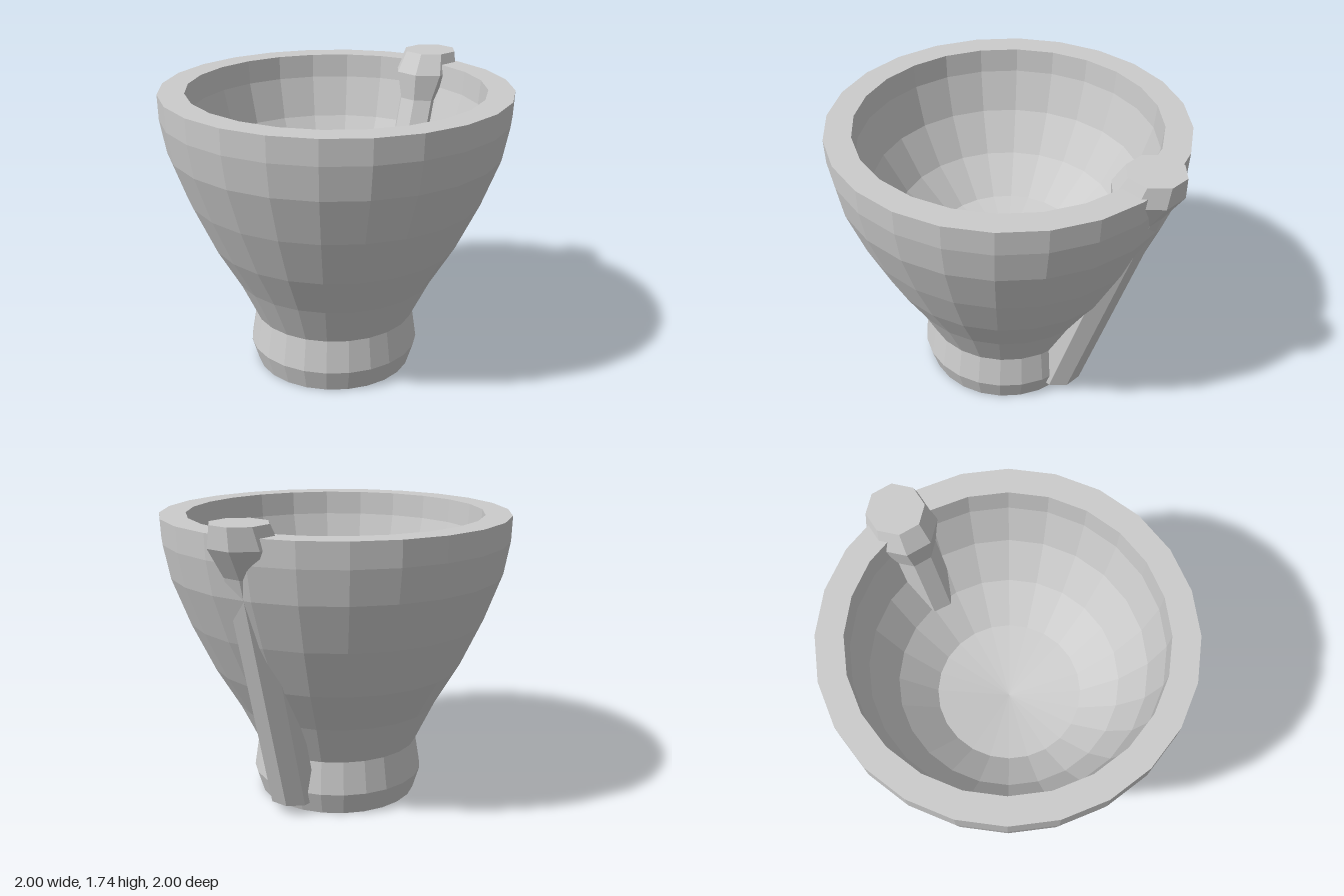
import * as THREE from 'three';

// Low-poly lathe whose rings are shifted sideways by a rule of their height
function shiftedLathe(name, profile, sides, phase, shift) {
  const points = profile.map(([r, y]) => new THREE.Vector2(r, y));
  const geometry = new THREE.LatheGeometry(points, sides, phase);
  const p = geometry.attributes.position;
  for (let i = 0; i < p.count; i++) {
    const [dx, dz] = shift(p.getY(i));
    p.setX(i, p.getX(i) + dx);
    p.setZ(i, p.getZ(i) + dz);
  }
  geometry.computeVertexNormals();
  const mesh = new THREE.Mesh(
    geometry,
    new THREE.MeshStandardMaterial({ color: 0xcccccc, flatShading: true })
  );
  mesh.name = name;
  return mesh;
}

export function createModel() {
  const group = new THREE.Group();
  group.name = 'mortarAndPestle';

  // Bowl: foot, flaring outer wall, flat rim, then the thick-walled hollow
  const bowlProfile = [
    [0, 0], [0.465, 0], [0.505, 0.13], [0.475, 0.32], [0.59, 0.56],
    [0.73, 0.8], [0.86, 1.08], [0.96, 1.35], [0.995, 1.54], [1, 1.68],
    [0.85, 1.68], [0.84, 1.54], [0.77, 1.3], [0.63, 1.07], [0.42, 0.88], [0, 0.8],
  ];
  group.add(shiftedLathe('bowl', bowlProfile, 24, 0, (y) => {
    const t = 1 - y / 1.68;
    return [-0.02 * t, 0.015 * t];
  }));

  // Pestle: eight-sided leaning rod with a flared knob, passing through the wall
  const pestleProfile = [
    [0, 0.06], [0.14, 0.06], [0.14, 1.46], [0.195, 1.62], [0.16, 1.74], [0, 1.74],
  ];
  group.add(shiftedLathe('pestle', pestleProfile, 8, THREE.MathUtils.degToRad(10),
    (y) => [0.34 + 0.22 * (y - 0.06), -0.245 - 0.215 * (y - 0.06)]));

  return group;
}
